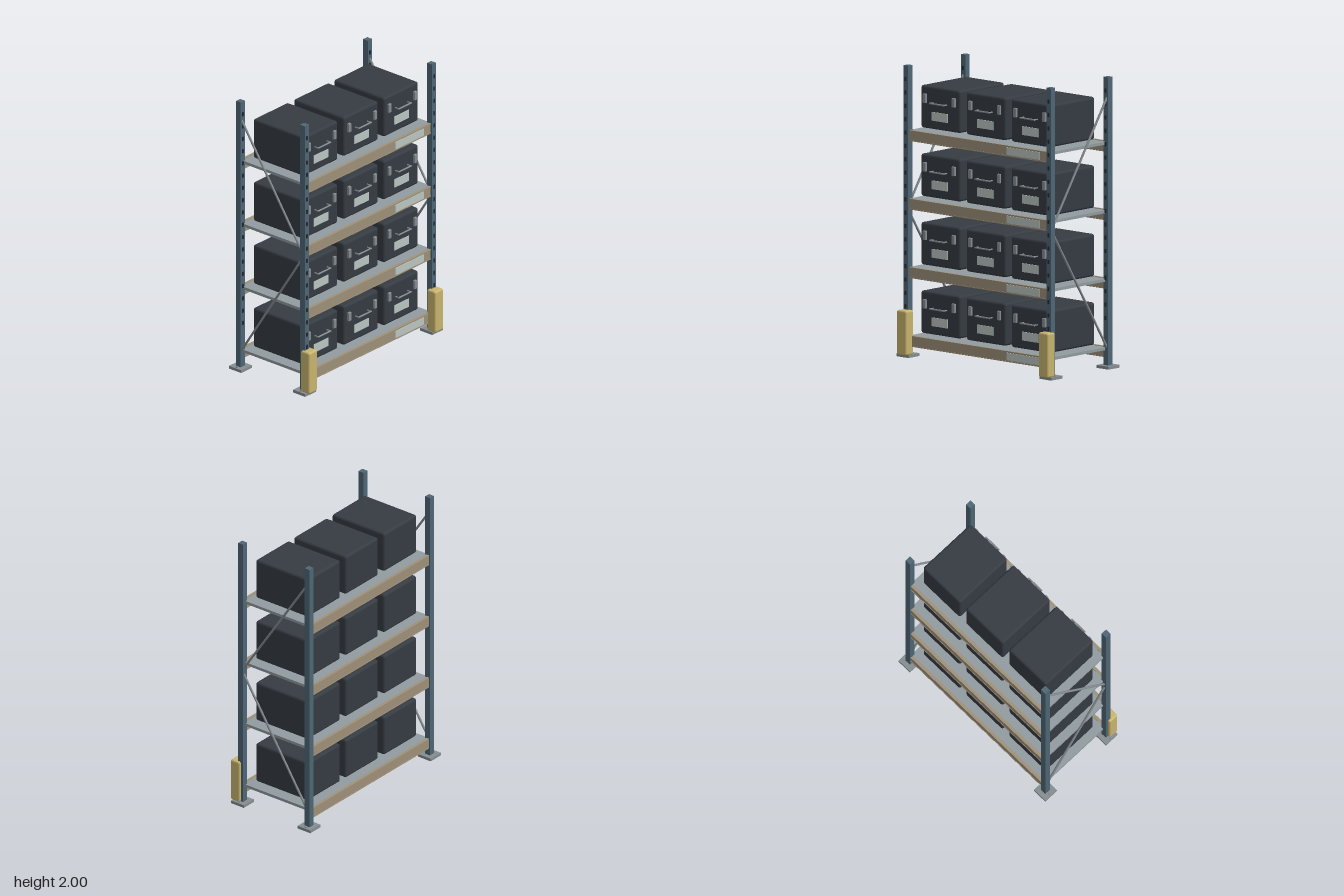
import * as THREE from 'three';
import { RoundedBoxGeometry } from 'three/addons/geometries/RoundedBoxGeometry.js';

const material = (name, color) => {
  const m = new THREE.MeshStandardMaterial({ color });
  m.name = name;
  return m;
};

export function createModel() {
  const postBlue = material('post blue', 0x4f6776);
  const slotDark = material('slot dark', 0x232b31);
  const beamTan = material('beam tan', 0x9f917a);
  const shelfGrey = material('shelf grey', 0x929ca0);
  const steel = material('steel', 0x868d91);
  const caseDark = material('case dark', 0x363c43);
  const labelPale = material('label pale', 0xbbc8c4);
  const guardYellow = material('guard yellow', 0xcab66f);

  const rack = new THREE.Group();
  rack.name = 'storageRack';

  const add = (parent, name, geometry, mat, x, y, z) => {
    const mesh = new THREE.Mesh(geometry, mat);
    mesh.name = name;
    mesh.position.set(x, y, z);
    parent.add(mesh);
    return mesh;
  };
  const box = (w, h, d) => new THREE.BoxGeometry(w, h, d);

  // Round bar between two points
  const bar = (parent, name, a, b, r, mat) => {
    const dir = b.clone().sub(a);
    const mid = a.clone().add(b).multiplyScalar(0.5);
    const mesh = add(parent, name, new THREE.CylinderGeometry(r, r, dir.length(), 10), mat, mid.x, mid.y, mid.z);
    mesh.quaternion.setFromUnitVectors(new THREE.Vector3(0, 1, 0), dir.normalize());
  };

  const POST_X = 0.652, FRONT_Z = 0.278, BACK_Z = -0.297, POST = 0.042;

  // Uprights with slots, foot plates, bolts, guards and braces
  for (const side of [-1, 1]) {
    const frame = new THREE.Group();
    frame.name = side > 0 ? 'leftFrame' : 'rightFrame';
    rack.add(frame);
    const x = side * POST_X;
    for (const z of [FRONT_Z, BACK_Z]) {
      add(frame, 'post', box(POST, 2, POST), postBlue, x, 1, z);
      add(frame, 'footPlate', box(0.11, 0.02, 0.11), steel, x, 0.013, z);
      add(frame, 'anchorBolt', new THREE.CylinderGeometry(0.008, 0.008, 0.008, 12), steel, x + side * 0.038, 0.027, z);
      for (let i = 0; i < 18; i++) {
        add(frame, 'slot', box(0.013, 0.028, 0.006), slotDark, x, 1.907 - i * 0.0917, z + POST / 2 + 0.002);
      }
    }
    add(frame, 'postGuard', new RoundedBoxGeometry(0.088, 0.307, 0.078, 3, 0.014), guardYellow, side * 0.647, 0.172, 0.314);
    const bx = side * 0.656;
    bar(frame, 'lowerBrace', new THREE.Vector3(bx, 1.0, 0.265), new THREE.Vector3(bx, 0.14, -0.285), 0.008, steel);
    bar(frame, 'upperBrace', new THREE.Vector3(bx, 1.04, 0.265), new THREE.Vector3(bx, 1.865, -0.285), 0.008, steel);
  }

  // Storage case with its front facing +z, base at y = 0
  const caseGeometry = new RoundedBoxGeometry(0.357, 0.292, 0.454, 3, 0.018);
  const latchGeometry = new RoundedBoxGeometry(0.027, 0.064, 0.018, 2, 0.004);
  const makeCase = () => {
    const group = new THREE.Group();
    group.name = 'storageCase';
    const front = 0.227;
    add(group, 'caseBody', caseGeometry, caseDark, 0, 0.146, 0);
    for (const s of [-1, 1]) {
      add(group, 'latch', latchGeometry, steel, s * 0.132, 0.206, front + 0.008);
      bar(group, 'handleArm', new THREE.Vector3(s * 0.062, 0.182, front - 0.005), new THREE.Vector3(s * 0.062, 0.182, front + 0.034), 0.005, steel);
    }
    bar(group, 'handleGrip', new THREE.Vector3(-0.066, 0.182, front + 0.032), new THREE.Vector3(0.066, 0.182, front + 0.032), 0.006, steel);
    add(group, 'caseLabel', box(0.148, 0.06, 0.006), labelPale, 0, 0.09, front + 0.002);
    return group;
  };

  // Four levels: shelf, two flanged beams, beam plate and three cases
  for (let level = 0; level < 4; level++) {
    const top = 0.145 + level * 0.47;
    const group = new THREE.Group();
    group.name = 'shelfLevel';
    group.position.y = top;
    rack.add(group);

    add(group, 'shelfPanel', box(1.29, 0.02, 0.56), shelfGrey, 0, -0.01, -0.0095);
    for (const z of [0.281, -0.3]) {
      add(group, 'beam', box(1.264, 0.068, 0.016), beamTan, 0, -0.034, z);
      for (const y of [0, -0.068]) {
        add(group, 'beamFlange', box(1.264, 0.006, 0.022), beamTan, 0, y, z);
      }
    }
    add(group, 'beamPlate', box(0.296, 0.052, 0.005), labelPale, 0.41, -0.034, 0.291);

    for (const x of [-0.415, 0, 0.412]) {
      const unit = makeCase();
      unit.position.set(x, 0.016, -0.01);
      group.add(unit);
    }
  }

  return rack;
}
